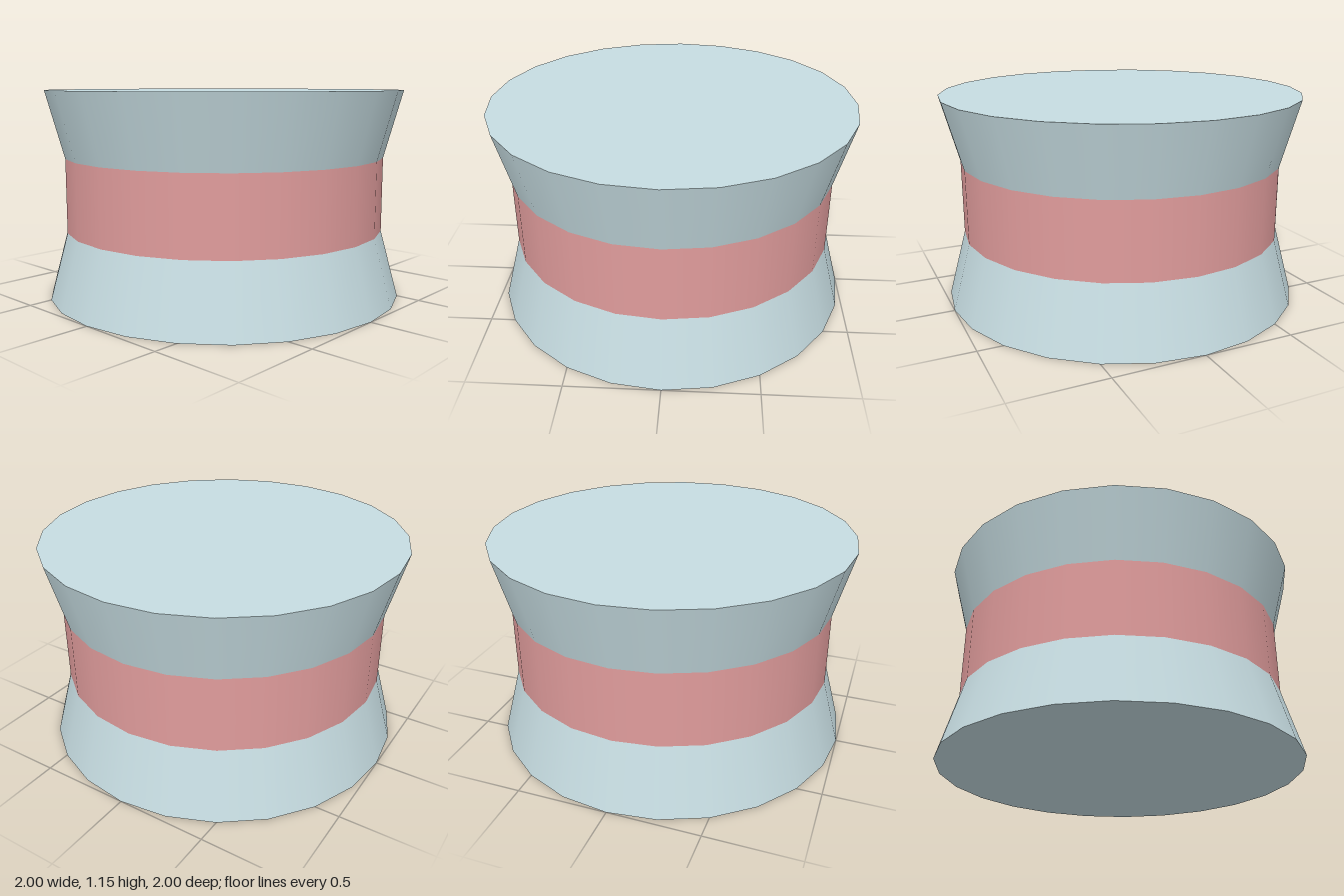
import * as THREE from 'three';

const SIDES = 24;
const RIM = 1, WAIST = 0.9;
const HEIGHT = 1.15, LOW = 0.37, HIGH = 0.78;

export function createModel() {
  const group = new THREE.Group();
  group.name = 'spool';
  const paleBlue = new THREE.MeshStandardMaterial({ color: 0xc6dce1 });
  const pink = new THREE.MeshStandardMaterial({ color: 0xe09c9c });

  // One ring of the stack, spanning bottom to top
  function addRing(name, topRadius, bottomRadius, bottom, top, material) {
    const geometry = new THREE.CylinderGeometry(topRadius, bottomRadius, top - bottom, SIDES);
    const mesh = new THREE.Mesh(geometry, material);
    mesh.name = name;
    mesh.position.y = (bottom + top) / 2;
    group.add(mesh);
  }

  // Flared base, straight waist band, flared top
  addRing('flaredBase', WAIST, RIM, 0, LOW, paleBlue);
  addRing('waistBand', WAIST, WAIST, LOW, HIGH, pink);
  addRing('flaredTop', RIM, WAIST, HIGH, HEIGHT, paleBlue);

  return group;
}
